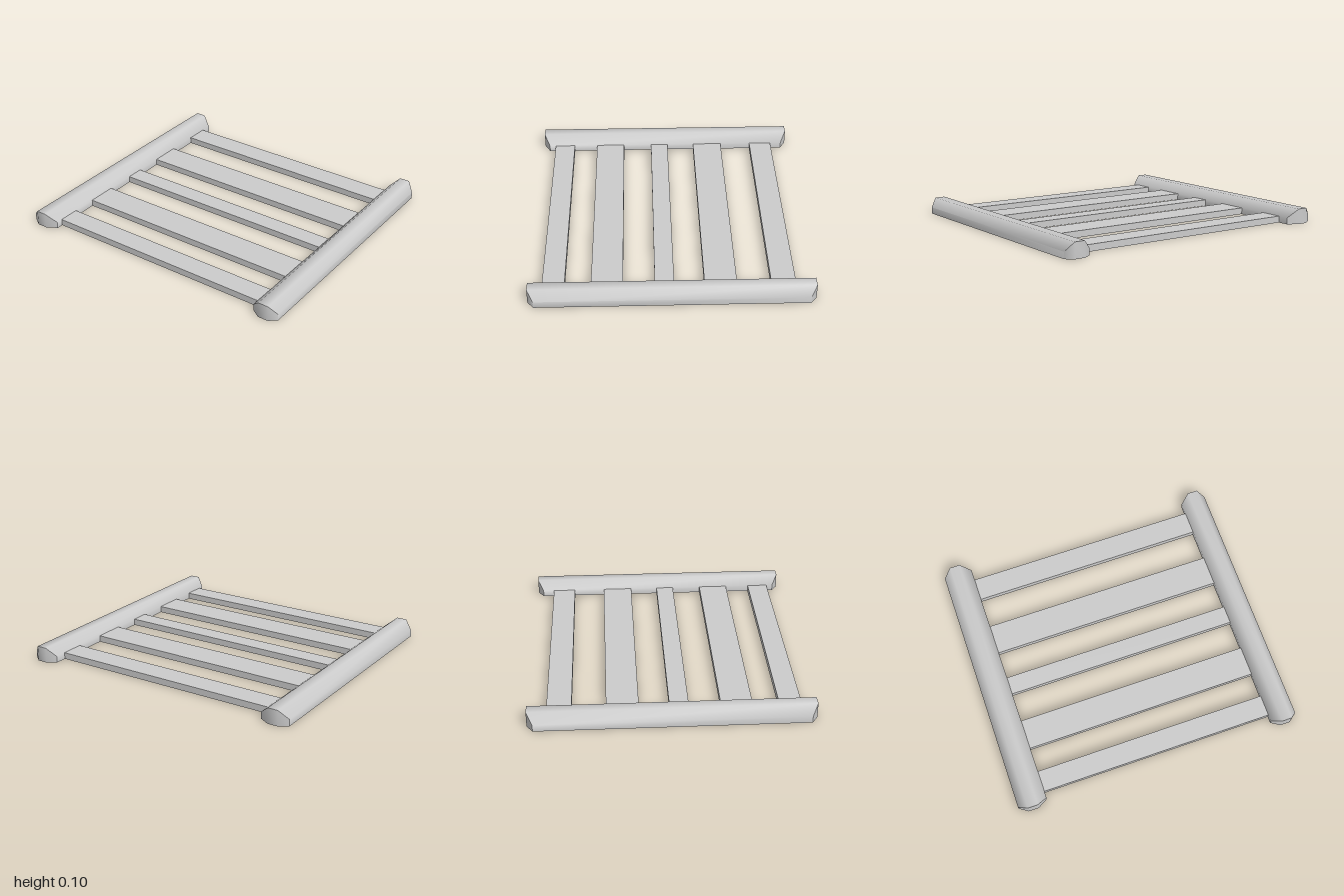
import * as THREE from 'three';
import { toCreasedNormals } from 'three/addons/utils/BufferGeometryUtils.js';

const material = new THREE.MeshStandardMaterial({ color: 0xcccccc });
const SLAT_HEIGHT = 0.045, RAIL_HEIGHT = 0.105;

// Rail lofted along z from rectangular sections: low and short at the sides, tall and long in the middle
function railGeometry(zs) {
  const positions = [], indices = [];
  zs.forEach((z, i) => {
    const middle = i === 1 || i === 2;
    const h = middle ? 0.92 : 0.88, top = middle ? RAIL_HEIGHT : SLAT_HEIGHT;
    positions.push(-h, 0, z, h, 0, z, h, top, z, -h, top, z);
  });
  const quad = (a, b, c, d) => indices.push(a, b, c, a, c, d);
  for (let s = 0; s < zs.length - 1; s++) {
    for (let k = 0; k < 4; k++) {
      const a = s * 4 + k, b = s * 4 + (k + 1) % 4;
      quad(a, b, b + 4, a + 4);
    }
  }
  const last = (zs.length - 1) * 4;
  quad(last, last + 1, last + 2, last + 3);
  quad(3, 2, 1, 0);
  const geometry = new THREE.BufferGeometry();
  geometry.setAttribute('position', new THREE.Float32BufferAttribute(positions, 3));
  geometry.setIndex(indices);
  return toCreasedNormals(geometry, 0.97);
}

export function createModel() {
  const group = new THREE.Group();
  group.name = 'slattedFrame';
  const add = (name, geometry) => {
    const mesh = new THREE.Mesh(geometry, material);
    mesh.name = name;
    group.add(mesh);
    return mesh;
  };

  // Bevelled end rails
  add('frontRail', railGeometry([0.82, 0.88, 0.95, 1]));
  add('backRail', railGeometry([-1, -0.94, -0.87, -0.8]));

  // Flat slats of uneven width between the rails
  const slats = [[-0.835, -0.69], [-0.52, -0.315], [-0.11, 0.015], [0.21, 0.42], [0.64, 0.8]];
  slats.forEach(([x0, x1], i) => {
    const slat = add(`slat${i + 1}`, new THREE.BoxGeometry(x1 - x0, SLAT_HEIGHT, 1.62));
    slat.position.set((x0 + x1) / 2, SLAT_HEIGHT / 2, 0.01);
  });
  return group;
}
